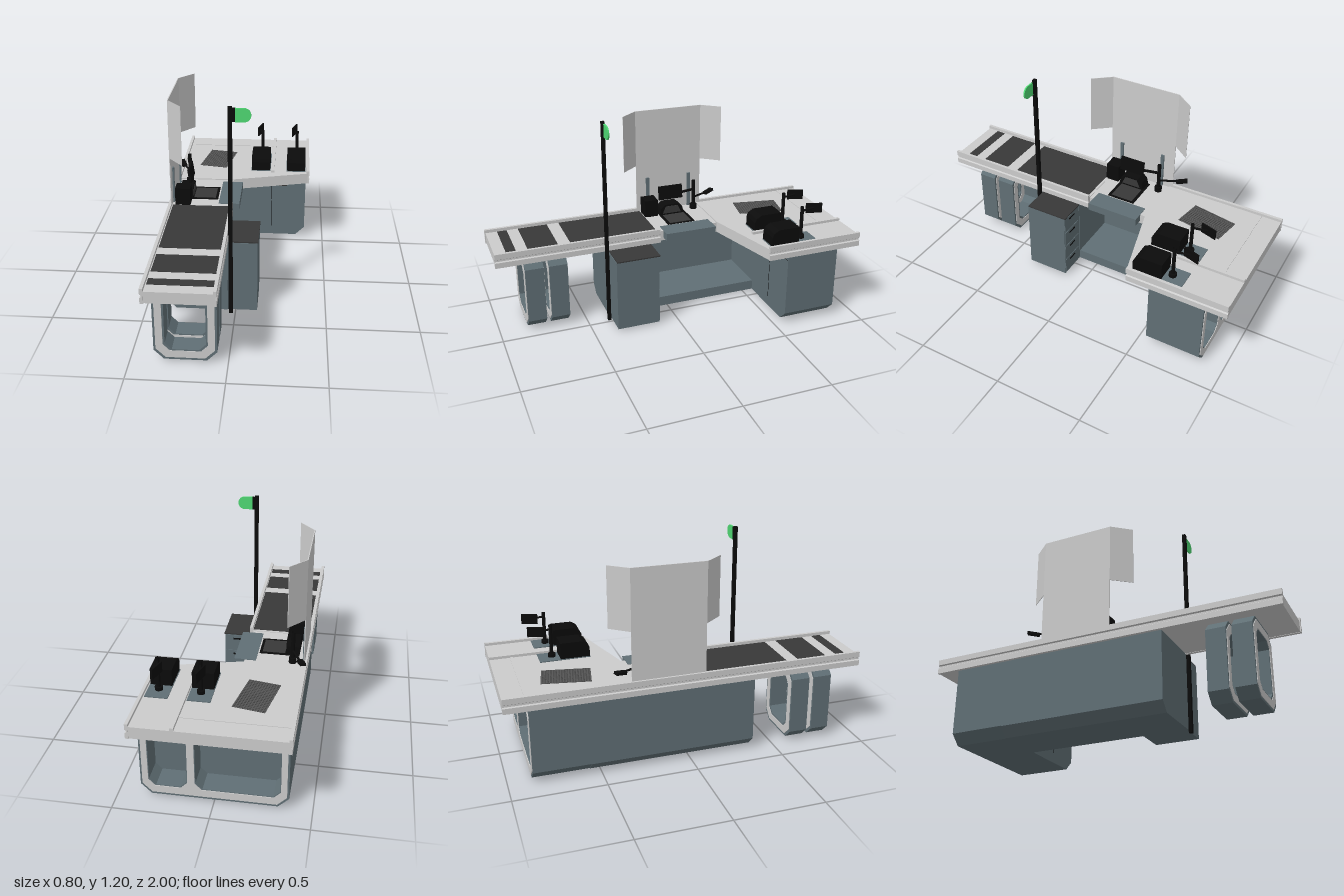
import * as THREE from 'three';

const mat = (color) => new THREE.MeshStandardMaterial({ color, side: THREE.DoubleSide, flatShading: true });

export function createModel() {
  const root = new THREE.Group();
  const M = { grey: mat(0xcccccc), slate: mat(0x606f75), dark: mat(0x383838), mid: mat(0x555555), black: mat(0x0b0b0b), green: mat(0x4fd873) };

  const add = (name, geo, m) => {
    const mesh = new THREE.Mesh(geo, M[m]);
    mesh.name = name;
    root.add(mesh);
    return mesh;
  };
  // box given by its limits on each axis
  const box = (name, m, x0, x1, y0, y1, z0, z1) => {
    const b = add(name, new THREE.BoxGeometry(x1 - x0, y1 - y0, z1 - z0), m);
    b.position.set((x0 + x1) / 2, (y0 + y1) / 2, (z0 + z1) / 2);
    return b;
  };
  const shapeOf = (pts) => new THREE.Shape(pts.map(([x, y]) => new THREE.Vector2(x, y)));
  // front profile pushed along z
  const extrude = (name, m, shape, z0, z1) => {
    const g = new THREE.ExtrudeGeometry(shape, { depth: z1 - z0, bevelEnabled: false, curveSegments: 12 });
    g.translate(0, 0, z0);
    return add(name, g, m);
  };
  // side profile in z, y pushed along x
  const sideways = (name, m, pts, x0, x1) => {
    const g = new THREE.ExtrudeGeometry(shapeOf(pts.map(([z, y]) => [-z, y])), { depth: x1 - x0, bevelEnabled: false });
    g.rotateY(Math.PI / 2).translate(x0, 0, 0);
    return add(name, g, m);
  };
  // plan outline in x, z pushed up along y
  const slab = (name, m, pts, y0, y1) => {
    const g = new THREE.ExtrudeGeometry(shapeOf(pts.map(([x, z]) => [x, -z])), { depth: y1 - y0, bevelEnabled: false });
    g.rotateX(-Math.PI / 2).translate(0, y0, 0);
    return add(name, g, m);
  };
  const rod = (name, m, a, b, r) => add(name, new THREE.TubeGeometry(
    new THREE.LineCurve3(new THREE.Vector3(...a), new THREE.Vector3(...b)), 1, r, 10), m);
  const disc = (name, r, h, x, y, z) => add(name, new THREE.CylinderGeometry(r, r, h, 16), 'black').position.set(x, y, z);
  // rectangle with chamfered corners, c at the bottom and t at the top
  const oct = (x0, x1, y0, y1, c, t = c) => [[x0 + c, y0], [x1 - c, y0], [x1, y0 + c], [x1, y1 - t],
    [x1 - t, y1], [x0 + t, y1], [x0, y1 - t], [x0, y0 + c]];
  const ring = (outer, ...holes) => {
    const s = shapeOf(outer);
    s.holes = holes.map(shapeOf);
    return s;
  };

  // Front leg rings with trimmed faces
  for (const [z0, z1] of [[0.6, 0.705], [0.735, 0.84]]) {
    extrude('legRing', 'slate', ring(oct(-0.378, -0.055, 0.012, 0.44, 0.052), oct(-0.32, -0.112, 0.072, 0.38, 0.035)), z0, z1);
    for (const z of [z0 - 0.003, z1 - 0.001])
      extrude('legTrim', 'grey', ring(oct(-0.367, -0.066, 0.025, 0.425, 0.05), oct(-0.33, -0.102, 0.065, 0.385, 0.035)), z, z + 0.004);
  }

  // Front cabinet, then the thin wall and raised floor of the knee space
  const left = (x1, y1) => shapeOf([[-0.33, 0.012], [x1, 0.012], [x1, y1], [-0.38, y1], [-0.38, 0.065]]);
  extrude('frontCabinet', 'slate', left(-0.045, 0.44), 0.115, 0.37);
  extrude('kneeFloor', 'slate', left(-0.05, 0.07), -0.557, 0.115);
  box('kneeWall', 'slate', -0.38, -0.36, 0.068, 0.44, -0.557, 0.115);

  // Drawer unit
  box('drawerUnit', 'slate', -0.045, 0.12, 0.012, 0.43, 0.118, 0.365);
  box('drawerUnitTop', 'dark', -0.038, 0.123, 0.43, 0.437, 0.11, 0.362);
  for (let i = 0; i < 4; i++) {
    const y = 0.02 + i * 0.102;
    box('drawerFront', 'slate', -0.034, 0.116, y, y + 0.097, 0.114, 0.12);
    box('drawerHandle', 'black', 0.012, 0.07, y + 0.07, y + 0.08, 0.1125, 0.116);
  }

  // Rear cabinet with two recessed bays at the back
  extrude('rearCabinet', 'slate', shapeOf(oct(-0.38, 0.38, 0.012, 0.44, 0.055, 0)), -0.74, -0.557);
  const bays = (g) => [oct(-0.335 - g, 0.095 + g, 0.07 - g, 0.395 + g, 0.035), oct(0.14 - g, 0.335 + g, 0.07 - g, 0.395 + g, 0.035)];
  extrude('rearBays', 'slate', ring(oct(-0.38, 0.38, 0.012, 0.44, 0.055, 0), ...bays(0)), -0.87, -0.74);
  extrude('rearTrim', 'grey', ring(oct(-0.37, 0.37, 0.025, 0.43, 0.05), ...bays(0.004)), -0.874, -0.869);

  // Door joints and handle
  box('doorJoint', 'black', 0.163, 0.166, 0.07, 0.44, -0.558, -0.556);
  box('doorJoint', 'black', 0.166, 0.379, 0.404, 0.407, -0.558, -0.556);
  box('doorHandle', 'dark', 0.212, 0.262, 0.358, 0.367, -0.558, -0.555);

  // Counter slabs
  box('conveyorDeck', 'grey', -0.385, -0.05, 0.438, 0.5, 0.05, 0.995);
  box('cashierDeck', 'grey', -0.385, -0.06, 0.438, 0.497, -0.31, 0.05);
  slab('baggingDeck', 'grey', [[-0.385, -0.998], [0.39, -0.998], [0.39, -0.43], [-0.06, -0.31], [-0.385, -0.31]], 0.438, 0.503);

  // Grooved edge rails, d is the outward direction
  const rail = (x, d, z0, z1) => extrude('edgeRail', 'grey', shapeOf([[0, 0.436], [0.017, 0.436], [0.017, 0.467], [0.009, 0.472],
    [0.009, 0.482], [0.017, 0.487], [0.017, 0.518], [0, 0.518]].map(([u, y]) => [x + d * u, y])), z0, z1);
  rail(-0.383, -1, -1, 1);
  rail(0.383, 1, -1, -0.43);
  rail(-0.055, 1, 0.05, 1);
  box('deckDivider', 'grey', 0.163, 0.182, 0.5, 0.518, -0.998, -0.43);
  box('deckRib', 'grey', -0.38, 0.163, 0.5, 0.506, -0.885, -0.868);

  // Conveyor belts
  for (const [z0, z1] of [[0.065, 0.57], [0.64, 0.81], [0.875, 0.93]])
    box('belt', 'dark', -0.378, -0.058, 0.495, 0.502, z0, z1);

  // Cashier shelf
  box('cashierShelf', 'slate', -0.122, -0.003, 0.455, 0.5, -0.28, 0.025);

  // Scanner plate with raised reader
  box('scannerPlate', 'black', -0.35, -0.13, 0.49, 0.499, -0.198, -0.03);
  box('scannerGlass', 'dark', -0.27, -0.145, 0.495, 0.501, -0.18, -0.048);
  sideways('scannerReader', 'black', [[-0.03, 0.497], [-0.185, 0.497], [-0.175, 0.54], [-0.15, 0.562], [-0.065, 0.562], [-0.04, 0.54]], -0.35, -0.275);
  sideways('readerWindow', 'dark', [[-0.05, 0.508], [-0.165, 0.508], [-0.145, 0.552], [-0.07, 0.552]], -0.276, -0.272);

  // Receipt printer, display and card terminal on a post
  box('receiptPrinter', 'black', -0.365, -0.28, 0.497, 0.6, -0.02, 0.06);
  box('cashierDisplay', 'black', -0.299, -0.286, 0.594, 0.676, -0.178, -0.03).rotation.z = 0.15;
  rod('devicePost', 'black', [-0.32, 0.497, -0.265], [-0.32, 0.68, -0.265], 0.011);
  rod('displayArm', 'black', [-0.32, 0.622, -0.265], [-0.295, 0.622, -0.15], 0.008);
  rod('terminalArm', 'black', [-0.32, 0.57, -0.265], [-0.375, 0.57, -0.385], 0.006);
  disc('postCollar', 0.021, 0.03, -0.32, 0.512, -0.265);
  const card = box('cardTerminal', 'black', -0.392, -0.362, 0.563, 0.578, -0.42, -0.355);
  card.rotation.set(0.2, 0.4, 0);

  // Screen panel with angled wings and its brackets
  box('screenPanel', 'grey', -0.388, -0.383, 0.44, 1.128, -0.33, 0.08);
  for (const [z0, z1] of [[0.08, 0.18], [-0.33, -0.43]])
    slab('screenWing', 'grey', [[-0.388, z0], [-0.305, z1], [-0.302, z1], [-0.383, z0]], 0.792, 1.128);
  for (const z of [0.01, -0.255]) box('screenBracket', 'slate', -0.383, -0.374, 0.497, 0.71, z - 0.01, z + 0.01);

  // Perforated pad made of crossing bars
  const pad = new THREE.Group();
  pad.name = 'gridPad';
  const bar = (x, z, w, d, y, m) => {
    const b = new THREE.Mesh(new THREE.BoxGeometry(w, 0.003, d), M[m]);
    b.name = 'gridBar';
    b.position.set(x, y, z);
    pad.add(b);
  };
  bar(0, 0, 0.172, 0.265, 0, 'dark');
  for (let i = 0; i <= 12; i++) bar(-0.083 + i * 0.01383, 0, 0.006, 0.265, 0.001, 'mid');
  for (let i = 0; i <= 18; i++) bar(0, -0.129 + i * 0.01433, 0.172, 0.006, 0.001, 'mid');
  pad.position.set(-0.18, 0.503, -0.635);
  pad.rotation.y = -0.18;
  root.add(pad);

  // Payment stations on the bagging deck
  for (const x of [0.098, 0.316]) {
    box('stationPlate', 'slate', x - 0.06, x + 0.06, 0.5, 0.508, -0.735, -0.453);
    sideways('stationBody', 'black', [[-0.455, 0.505], [-0.62, 0.505], [-0.62, 0.6], [-0.495, 0.6], [-0.465, 0.582], [-0.455, 0.56]], x - 0.057, x + 0.057);
    rod('stationPost', 'black', [x + 0.002, 0.505, -0.66], [x + 0.002, 0.695, -0.66], 0.01);
    disc('stationFoot', 0.021, 0.02, x + 0.002, 0.517, -0.66);
    rod('stationArm', 'black', [x + 0.002, 0.67, -0.66], [x - 0.015, 0.67, -0.74], 0.006);
    box('stationScreen', 'black', x - 0.019, x - 0.011, 0.641, 0.698, -0.79, -0.698).rotation.y = -0.3;
  }

  // Lane pole with rounded flag
  box('lanePole', 'black', -0.036, -0.014, 0, 1.2, 0.368, 0.386);
  box('flagClamp', 'black', -0.016, 0, 1.122, 1.194, 0.37, 0.382);
  const flag = new THREE.Shape();
  flag.moveTo(0, 1.12);
  flag.lineTo(0.045, 1.12);
  flag.absarc(0.045, 1.157, 0.037, -Math.PI / 2, Math.PI / 2);
  flag.lineTo(0, 1.194);
  extrude('laneFlag', 'green', flag, 0.372, 0.38);

  return root;
}
